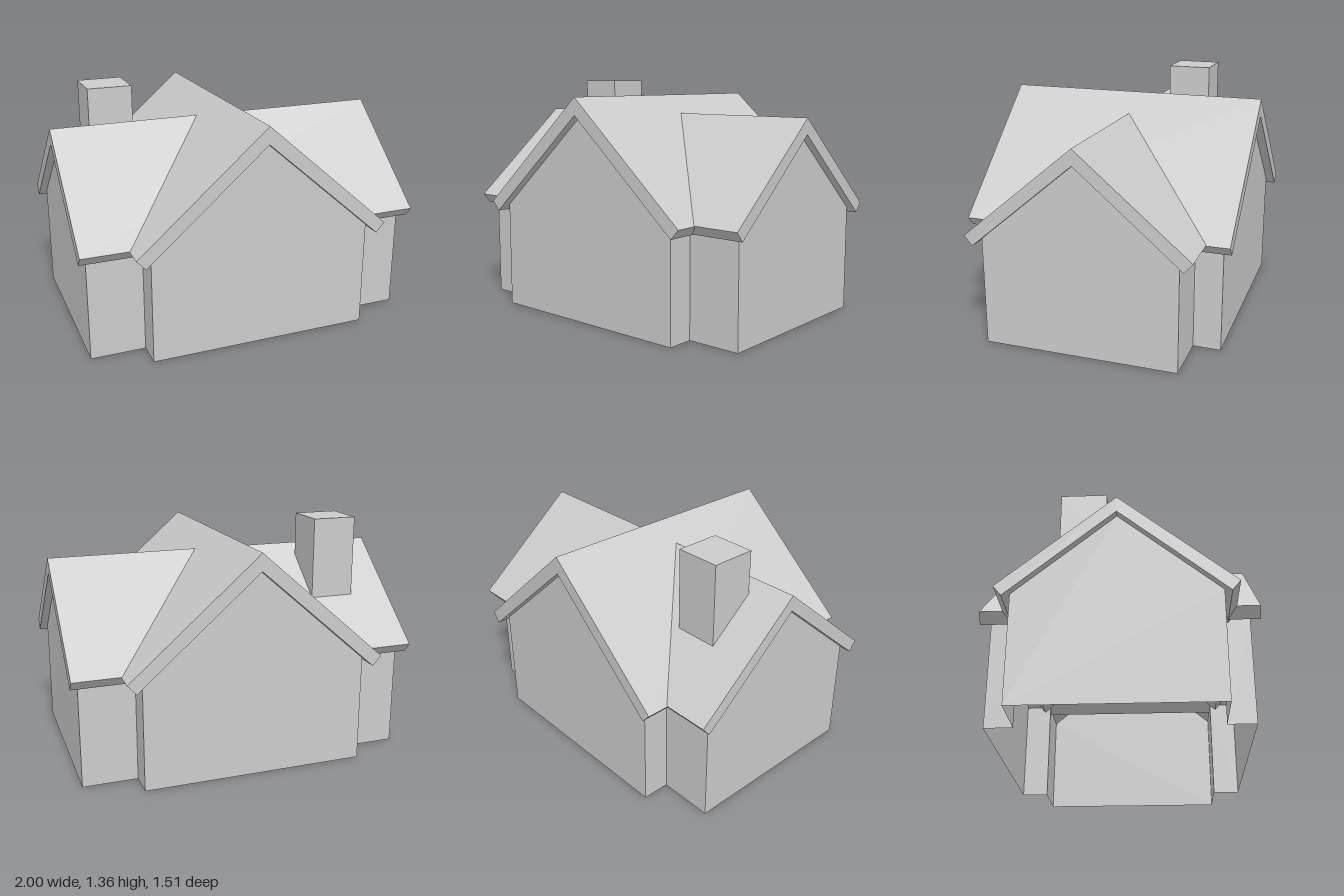
import * as THREE from 'three';

const solid = new THREE.MeshStandardMaterial({ color: 0xcccccc, flatShading: true });
const thin = new THREE.MeshStandardMaterial({ color: 0xcccccc, flatShading: true, side: THREE.DoubleSide });

function addMesh(parent, name, geometry, material) {
  const mesh = new THREE.Mesh(geometry, material);
  mesh.name = name;
  parent.add(mesh);
  return mesh;
}

const outline = (points) => new THREE.Shape(points.map(([x, y]) => new THREE.Vector2(x, y)));

// One gabled wing running along z: a chevron roof slab, two gable walls and four short side walls
function createWing(name, { ridge, innerRidge, eave, innerEave, roofEnd, wallX, wallZ, cornerZ }) {
  const wing = new THREE.Group();
  wing.name = name;

  const slope = (innerRidge - innerEave[1]) / innerEave[0];
  const wallTop = innerRidge - slope * wallX;

  // Roof slab with square-cut eaves
  const chevron = outline([
    [0, ridge], [-eave[0], eave[1]], [-innerEave[0], innerEave[1]],
    [0, innerRidge], [innerEave[0], innerEave[1]], [eave[0], eave[1]],
  ]);
  const roof = new THREE.ExtrudeGeometry(chevron, { depth: roofEnd * 2, bevelEnabled: false });
  addMesh(wing, 'roof', roof.translate(0, 0, -roofEnd), solid);

  // Thin walls, open underneath
  const gable = outline([[-wallX, 0], [wallX, 0], [wallX, wallTop], [0, innerRidge], [-wallX, wallTop]]);
  const sideLength = wallZ - cornerZ;
  for (const end of [1, -1]) {
    const wall = addMesh(wing, 'gableWall', new THREE.ShapeGeometry(gable), thin);
    wall.position.z = end * wallZ;
    wall.rotation.y = end > 0 ? 0 : Math.PI;
    for (const side of [1, -1]) {
      const sideWall = addMesh(wing, 'sideWall', new THREE.PlaneGeometry(sideLength, wallTop), thin);
      sideWall.position.set(side * wallX, wallTop / 2, end * (wallZ + cornerZ) / 2);
      sideWall.rotation.y = side * Math.PI / 2;
    }
  }
  return wing;
}

export function createModel() {
  const house = new THREE.Group();
  house.name = 'house';

  // Taller wing, front to back
  house.add(createWing('mainWing', {
    ridge: 1.275, innerRidge: 1.175, eave: [0.735, 0.635], innerEave: [0.685, 0.58],
    roofEnd: 0.757, wallX: 0.643, wallZ: 0.706, cornerZ: 0.55,
  }));

  // Lower wing, side to side
  const crossWing = createWing('crossWing', {
    ridge: 1.167, innerRidge: 1.077, eave: [0.63, 0.638], innerEave: [0.585, 0.583],
    roofEnd: 1, wallX: 0.55, wallZ: 0.955, cornerZ: 0.643,
  });
  crossWing.rotation.y = Math.PI / 2;
  house.add(crossWing);

  // Chimney, its foot sloped to sit within the roof slab
  const profile = outline([[0.07, 1.06], [0.33, 0.845], [0.33, 1.36], [0.07, 1.36]]);
  const chimney = addMesh(house, 'chimney',
    new THREE.ExtrudeGeometry(profile, { depth: 0.26, bevelEnabled: false }), solid);
  chimney.rotation.y = Math.PI / 2;
  chimney.position.x = -0.76;

  return house;
}
